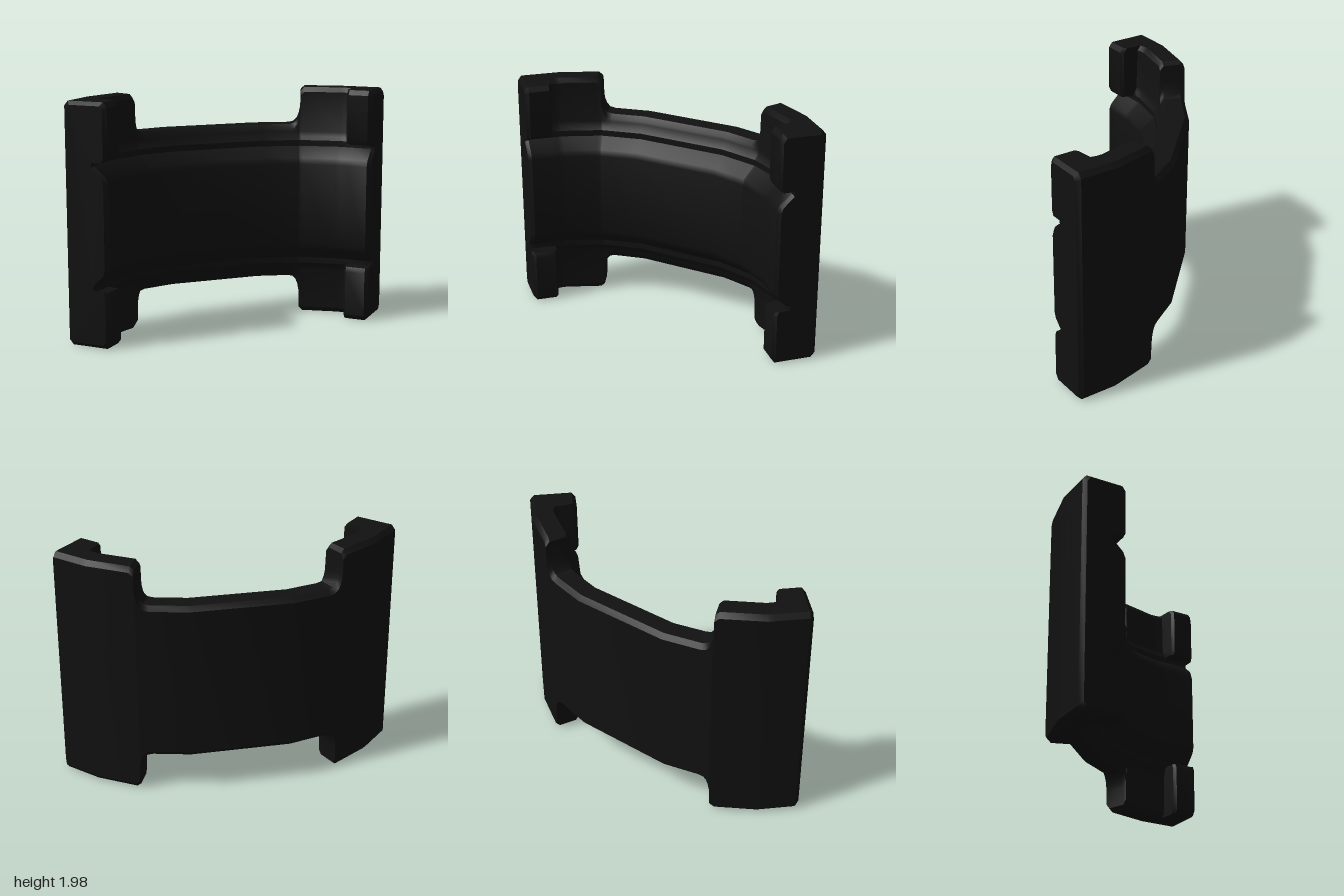
import * as THREE from 'three';
import { toCreasedNormals } from 'three/addons/utils/BufferGeometryUtils.js';

// Plan outline, outer and inner wall, from one end to the middle [x, z];
// the other half swaps x and z.
const OUTER = [[1, -1], [0.65, -1], [0.26, -0.91], [-0.1, -0.69]];
const INNER = [[1, -0.62], [0.69, -0.62], [0.4, -0.55], [0.13, -0.39]];
const wholePath = half => [...half, ...half.map(([x, z]) => [z, x]).reverse()];
const outer = wholePath(OUTER), inner = wholePath(INNER);
const MID = 0.99; // half height

// Stations: path position u, top height, corner lug amount, end chamfer
const HALF = [
  [0, 1.98, 1, 1], [0.09, 1.98, 1, 0], [0.64, 1.98, 1, 0], [0.7, 1.98, 0.85, 0], // end block
  [0.72, 1.98, 0.06, 0], [0.85, 1.98, 0, 0], [1, 1.98, 0, 0], [1.9, 1.98, 0, 0], // tab
  [1.99, 1.95, 0, 0], [2, 1.8, 0, 0], [2.03, 1.74, 0, 0], [2.07, 1.7, 0, 0],     // fillet
  [2.14, 1.67, 0, 0], [2.25, 1.66, 0, 0], [3, 1.66, 0, 0],                       // low middle
];
const STATIONS = [...HALF, ...HALF.map(([u, ...rest]) => [7 - u, ...rest]).reverse()];

// Point on the plan: depth f is 0 on the outer wall and 1 on the inner wall
function planPoint(u, f) {
  const i = Math.min(Math.floor(u), 6), t = u - i;
  const at = (p, k) => p[i][k] + (p[i + 1][k] - p[i][k]) * t;
  return [0, 1].map(k => at(outer, k) * (1 - f) + at(inner, k) * f);
}

// Closed cross-section [depth, y]: thin rim or thick lug, groove, raised panel
function section(h, lug, chamfer) {
  const thin = [[0, h - 0.04], [0.09, h], [0.48, h], [0.56, h - 0.04], [0.58, 1.6], [0.62, 1.56],
    [0.68, 1.53], [0.68, 1.48], [0.95, 1.39], [1, 1.34]];
  const thick = [[0, h - 0.04], [0.09, h], [0.92, h], [1, h - 0.04], [1, 1.56], [0.95, 1.52],
    [0.68, 1.52], [0.68, 1.48], [0.95, 1.39], [1, 1.34]];
  const top = thin.map((p, i) => p.map((v, k) => v + (thick[i][k] - v) * lug));
  const ring = [...top, ...top.map(([f, y]) => [f, 2 * MID - y]).reverse()];
  if (!chamfer) return ring;
  return ring.map(([f, y]) => [0.5 + (f - 0.5) * 0.85, MID + (y - MID) * 0.97]);
}

function plateGeometry() {
  const positions = [], index = [];
  const rings = STATIONS.map(([u, h, lug, chamfer]) => section(h, lug, chamfer));
  const n = rings[0].length, last = rings.length - 1;
  rings.forEach((ring, i) => ring.forEach(([f, y]) => {
    const [x, z] = planPoint(STATIONS[i][0], f);
    positions.push(x, y, z);
  }));
  // Skin between neighbouring sections
  for (let i = 0; i < last; i++) {
    for (let j = 0; j < n; j++) {
      const a = i * n + j, b = i * n + (j + 1) % n;
      index.push(a, a + n, b, b, a + n, b + n);
    }
  }
  // End caps, wound to face outwards
  for (const i of [0, last]) {
    const pts = rings[i].map(([f, y]) => new THREE.Vector2(f, y));
    for (const [a, b, c] of THREE.ShapeUtils.triangulateShape(pts, [])) {
      const ccw = THREE.ShapeUtils.area([pts[a], pts[b], pts[c]]) > 0;
      const tri = ccw === (i === last) ? [a, b, c] : [a, c, b];
      index.push(...tri.map(k => k + i * n));
    }
  }
  const g = new THREE.BufferGeometry();
  g.setAttribute('position', new THREE.Float32BufferAttribute(positions, 3));
  g.setIndex(index);
  return toCreasedNormals(g, 0.55);
}

export function createModel() {
  const group = new THREE.Group();
  group.name = 'curvedPlate';
  const plate = new THREE.Mesh(plateGeometry(), new THREE.MeshStandardMaterial({ color: 0x111111 }));
  plate.name = 'plate';
  group.add(plate);
  return group;
}
